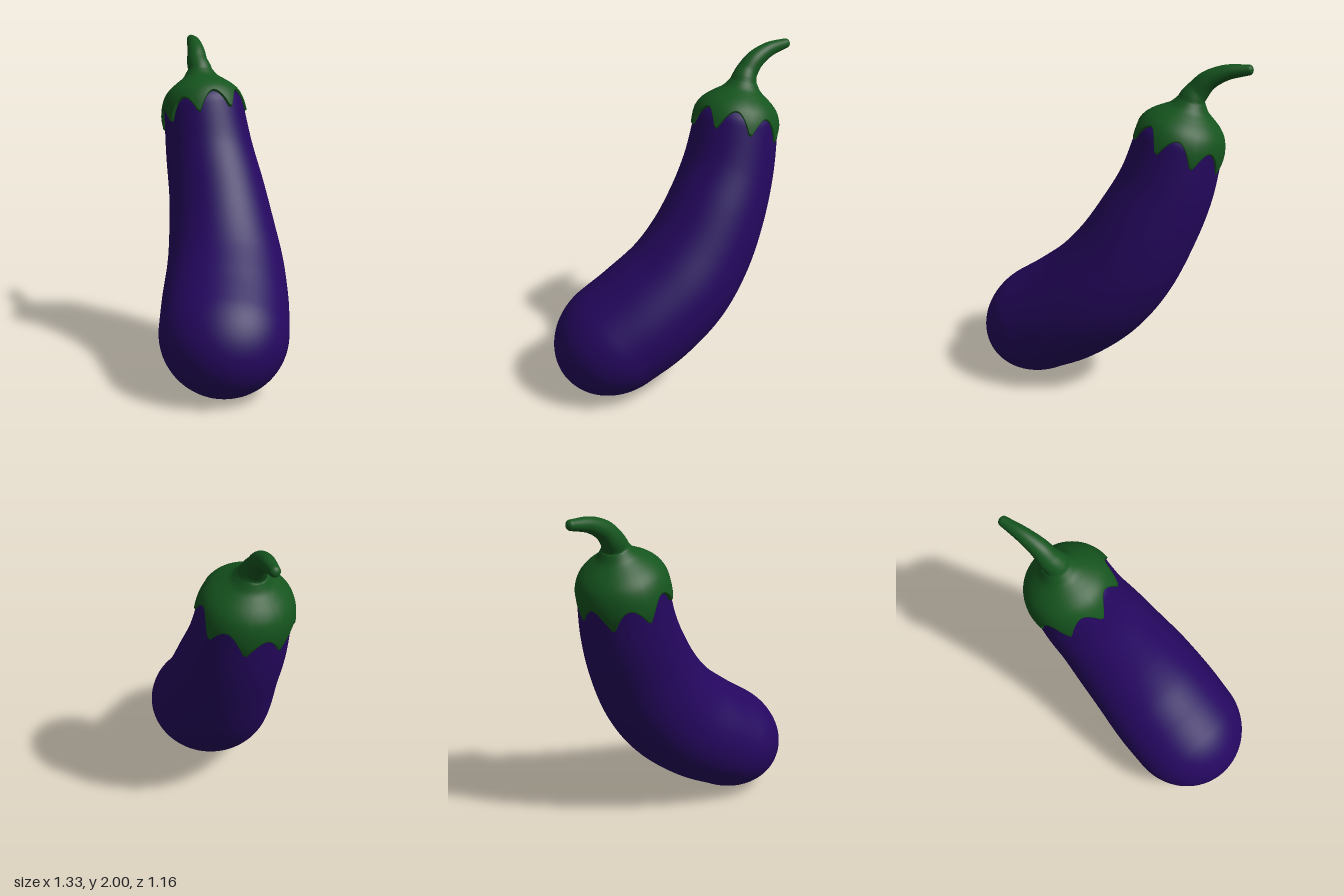
import * as THREE from 'three';

const SIDES = 96;
const ACROSS = new THREE.Vector3(1, 0, -1).normalize(); // level, square to the bend of the fruit
const vec = (x, y, z) => new THREE.Vector3(x, y, z);

// One closed ring around a centre; shape(angle) gives [radius, shift along axis, flattening]
function ring(centre, axis, shape) {
  const u = ACROSS.clone().addScaledVector(axis, -axis.dot(ACROSS)).normalize();
  const v = axis.clone().cross(u);
  return Array.from({ length: SIDES }, (_, j) => {
    const a = (j / SIDES) * Math.PI * 2;
    const [r, shift, flat = 1] = shape(a);
    return centre.clone()
      .addScaledVector(u, r * Math.cos(a))
      .addScaledVector(v, r * flat * Math.sin(a))
      .addScaledVector(axis, shift);
  });
}

// Smooth skin over a list of rings
function loft(rings, name, color) {
  const index = [];
  for (let i = 0; i < rings.length - 1; i++) {
    for (let j = 0; j < SIDES; j++) {
      const k = (j + 1) % SIDES;
      const a = i * SIDES + j, b = i * SIDES + k;
      index.push(a, b, a + SIDES, b, b + SIDES, a + SIDES);
    }
  }
  const geometry = new THREE.BufferGeometry().setFromPoints(rings.flat());
  geometry.setIndex(index);
  geometry.computeVertexNormals();
  const mesh = new THREE.Mesh(geometry, new THREE.MeshStandardMaterial({ color, side: THREE.DoubleSide }));
  mesh.name = name;
  return mesh;
}

const smoothPath = points => new THREE.CatmullRomCurve3(points, false, 'catmullrom');
const spinePath = spine => smoothPath(spine.map(([x, y, z]) => vec(x, y, z)));

// Rings along a spine of [x, y, z, radius, flattening] points
function sweep(spine, steps) {
  const path = spinePath(spine);
  const sizes = smoothPath(spine.map(([, , , r, flat = 1]) => vec(r, flat, 0)));
  return Array.from({ length: steps + 1 }, (_, i) => {
    const t = i / steps, size = sizes.getPoint(t);
    return ring(path.getPoint(t), path.getTangent(t), () => [size.x, 0, size.y]);
  });
}

// Rounded end on a spine; dir is +1 at its end and -1 at its start
function cap(spine, dir, stretch, steps) {
  const path = spinePath(spine);
  const t = dir > 0 ? 1 : 0;
  const [, , , r, flat = 1] = spine[t * (spine.length - 1)];
  const rings = [];
  for (let i = 1; i <= steps; i++) {
    const a = (i / steps) * Math.PI / 2;
    rings.push(ring(path.getPoint(t), path.getTangent(t),
      () => [Math.max(r * Math.cos(a), 1e-4), dir * r * stretch * Math.sin(a), flat]));
  }
  return dir > 0 ? rings : rings.reverse();
}

// Curved fruit, thicker and slightly flattened towards the bottom
function makeBody() {
  const spine = [
    [-0.345, 1.55, -0.32, 0.25, 1],
    [-0.275, 1.28, -0.298, 0.275, 1],
    [-0.175, 1.04, -0.255, 0.3, 1],
    [-0.07, 0.815, -0.185, 0.328, 0.98],
    [0.045, 0.625, -0.085, 0.355, 0.94],
    [0.17, 0.465, 0.06, 0.374, 0.9],
    [0.285, 0.347, 0.203, 0.375, 0.87],
  ];
  return loft([...cap(spine, -1, 0.7, 12), ...sweep(spine, 60), ...cap(spine, 1, 1.06, 24)],
    'fruitBody', 0x25075f);
}

// Scalloped cap that flows up into the bent stem
function makeCalyxAndStem() {
  const base = vec(-0.332, 1.5, -0.31);
  const axis = vec(-0.23, 0.96, -0.11).normalize();
  const top = 0.3;
  const profile = [[-0.1, 0.26], [0, 0.27], [0.05, 0.266], [0.1, 0.255], [0.15, 0.232],
    [0.19, 0.196], [0.225, 0.15], [0.255, 0.11], [top, 0.078]];
  const samples = new THREE.SplineCurve(profile.map(p => new THREE.Vector2(...p))).getPoints(200);
  const radiusAt = d => {
    const i = Math.max(1, samples.findIndex(p => p.x >= d - 1e-6));
    const p = samples[i - 1], q = samples[i];
    return THREE.MathUtils.mapLinear(d, p.x, q.x, p.y, q.y);
  };
  // Eight narrow tips between round arches, hanging lower on the right
  const rim = a => {
    const s = Math.sin(4 * (a + Math.PI / 20));
    const arch = Math.pow(s * s + 0.012, 0.36) - 0.2;
    return -0.028 + 0.045 * Math.cos(a + Math.PI / 4) + 0.15 * arch;
  };

  // Thin lip turned in against the fruit, then the dome
  const rings = [
    ring(base, axis, a => [radiusAt(rim(a)) - 0.045, rim(a) + 0.012]),
    ring(base, axis, a => [radiusAt(rim(a)) - 0.014, rim(a) - 0.008]),
  ];
  const steps = 32;
  for (let i = 0; i <= steps; i++) {
    rings.push(ring(base, axis, a => {
      const d = THREE.MathUtils.lerp(rim(a), top, i / steps);
      return [radiusAt(d), d];
    }));
  }

  // The stem spine starts inside the dome so that it leaves the top in line with it
  const along = d => base.clone().addScaledVector(axis, d).toArray();
  const stem = [
    [...along(0.22), 0.11],
    [...along(top), 0.078],
    [-0.432, 1.84, -0.355, 0.065],
    [-0.475, 1.902, -0.39, 0.055],
    [-0.55, 1.95, -0.45, 0.043],
    [-0.644, 1.972, -0.527, 0.029],
  ];
  rings.push(...sweep(stem, 40).slice(9), ...cap(stem, 1, 0.8, 8));
  return loft(rings, 'calyxAndStem', 0x15541e);
}

export function createModel() {
  const model = new THREE.Group();
  model.name = 'eggplant';
  model.add(makeBody(), makeCalyxAndStem());
  return model;
}
